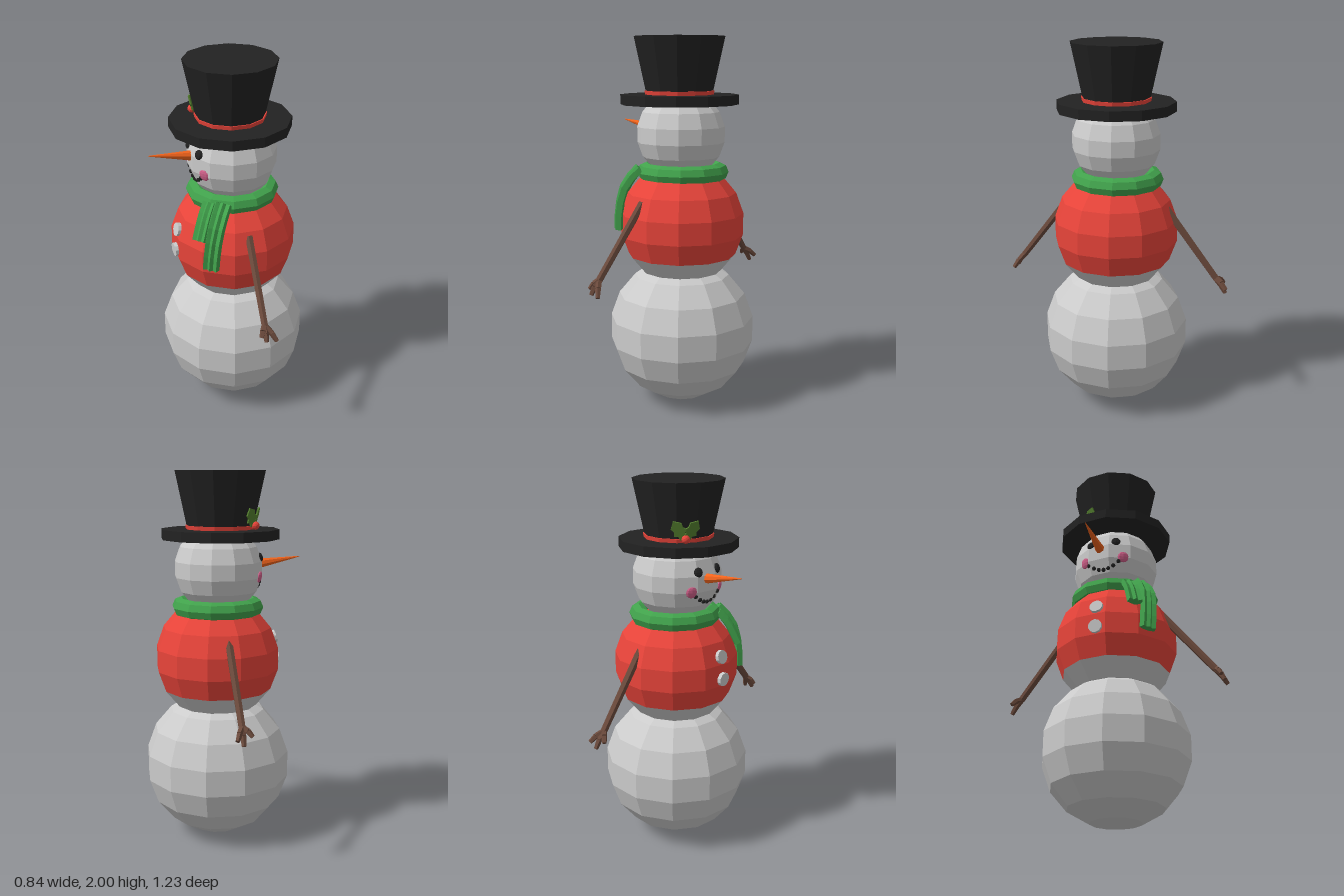
import * as THREE from 'three';

const V = (x, y, z) => new THREE.Vector3(x, y, z);
const mat = (color, side = THREE.FrontSide) =>
  new THREE.MeshStandardMaterial({ color, flatShading: true, side });
const SNOW = mat(0xcccccc), RED = mat(0xe8443a), GREEN = mat(0x41a24c, THREE.DoubleSide);
const BLACK = mat(0x222222), BARK = mat(0x6b4a3c), ORANGE = mat(0xf2641c);
const PINK = mat(0xd0608a), LEAF = mat(0x55802f, THREE.DoubleSide);
const AXIS = 0.027; // x of the body axis
const FACE = 9;     // heading of the face in degrees, turned from -x towards -z

export function createModel() {
  const model = new THREE.Group();
  const add = (name, geo, material, x = 0, y = 0, z = 0) => {
    const m = new THREE.Mesh(geo, material);
    m.name = name;
    m.position.set(x, y, z);
    model.add(m);
    return m;
  };

  // Place a part around a vertical axis with its +z pointing outward
  const around = (mesh, cx, deg, rho, y, pitch = 0) => {
    const a = THREE.MathUtils.degToRad(deg);
    mesh.position.set(cx - rho * Math.cos(a), y, -rho * Math.sin(a));
    mesh.rotation.order = 'YXZ';
    mesh.rotation.y = Math.atan2(-Math.cos(a), -Math.sin(a));
    mesh.rotation.x = -pitch;
    return mesh;
  };

  // Tapered stick between two points
  const stick = (name, a, b, ra, rb, material, sides = 6) => {
    const d = b.clone().sub(a);
    const m = add(name, new THREE.CylinderGeometry(rb, ra, d.length(), sides), material);
    m.position.copy(a).addScaledVector(d, 0.5);
    m.quaternion.setFromUnitVectors(V(0, 1, 0), d.normalize());
    return m;
  };

  // Snowballs; the middle one wears a red sweater down to its lower third
  const cut = Math.PI * 2 / 3;
  add('lowerBody', new THREE.SphereGeometry(0.401, 12, 9), SNOW, AXIS, 0.405);
  add('sweater', new THREE.SphereGeometry(0.34, 12, 6, 0, Math.PI * 2, 0, cut), RED, AXIS, 1);
  add('waist', new THREE.SphereGeometry(0.34, 12, 3, 0, Math.PI * 2, cut, Math.PI / 3), SNOW, AXIS, 1);
  add('head', new THREE.SphereGeometry(0.239, 12, 9), SNOW, 0.02, 1.485);

  // Buttons
  for (const y of [1.1, 0.98]) {
    const disc = new THREE.CylinderGeometry(0.037, 0.037, 0.02, 10).rotateX(Math.PI / 2);
    around(add('button', disc, SNOW), AXIS, FACE, Math.sqrt(0.335 ** 2 - (y - 1) ** 2), y, (y - 1) * 2.5);
  }

  // Eyes, cheeks, mouth
  const headRadius = y => 0.97 * Math.sqrt(0.239 ** 2 - (y - 1.485) ** 2);
  const onFace = (name, r, flat, material, off, y) => {
    const m = add(name, new THREE.SphereGeometry(r, 8, 6), material);
    around(m, 0.02, FACE + off, headRadius(y), y, (y - 1.485) * 4).scale.z = flat;
  };
  for (const s of [-1, 1]) {
    onFace('eye', 0.026, 0.6, BLACK, s * 19, 1.547);
    onFace('cheek', 0.031, 0.35, PINK, s * 29, 1.447);
  }
  for (let i = -3; i <= 3; i++) onFace('mouthCoal', 0.012, 0.8, BLACK, i * 7.5, 1.382 + i * i * 0.0045);

  // Carrot nose
  stick('nose', V(-0.17, 1.505, -0.046), V(-0.42, 1.543, -0.09), 0.03, 0.002, ORANGE, 8);

  // Top hat with band
  add('hatBrim', new THREE.CylinderGeometry(0.317, 0.317, 0.052, 12), BLACK, 0.01, 1.67);
  add('hatCrown', new THREE.CylinderGeometry(0.242, 0.175, 0.31, 12), BLACK, 0.01, 1.845);
  add('hatBand', new THREE.CylinderGeometry(0.187, 0.183, 0.025, 12), RED, 0.01, 1.704);

  // Holly: two spiky leaves and a berry
  const outline = [[0, 0], [0.022, 0.012], [0.02, 0.032], [0.038, 0.045], [0.026, 0.062], [0.032, 0.085], [0, 0.115]];
  const leafShape = new THREE.Shape([
    ...outline, ...outline.slice(1, -1).reverse().map(([x, y]) => [-x, y]),
  ].map(([x, y]) => new THREE.Vector2(x, y)));
  for (const s of [-1, 1]) {
    const geo = new THREE.ExtrudeGeometry(leafShape, { depth: 0.008, bevelEnabled: false });
    geo.rotateZ(-s * 0.55);
    around(add('hollyLeaf', geo, LEAF), 0.01, 47, 0.19, 1.715, -0.22).rotation.y += s * 0.25;
  }
  around(add('hollyBerry', new THREE.IcosahedronGeometry(0.022, 1), RED), 0.01, 47, 0.205, 1.718);

  // Scarf ring
  const ring = new THREE.TorusGeometry(0.198, 0.05, 8, 12);
  ring.rotateX(Math.PI / 2);
  add('scarf', ring, GREEN, 0.027, 1.283, -0.008);

  // Scarf tails: grooved ribbons that hang over the chest
  const ribbon = (name, pts, width, thick) => {
    const path = new THREE.CatmullRomCurve3(pts.map(p => V(...p)));
    const section = [[-0.5, 0], [-0.4, 0.9], [-0.17, 0.6], [0, 1], [0.17, 0.6], [0.4, 0.9], [0.5, 0], [0, -0.4]];
    const n = section.length, rows = 5, pos = [], idx = [];
    for (let i = 0; i <= rows; i++) {
      const p = path.getPoint(i / rows), t = path.getTangent(i / rows);
      const out = V(p.x - AXIS, 0, p.z).normalize();
      const side = t.clone().cross(out).normalize();
      out.crossVectors(side, t).normalize();
      for (const [u, v] of section) {
        pos.push(...p.clone().addScaledVector(side, u * width).addScaledVector(out, v * thick).toArray());
      }
    }
    for (let i = 0; i < rows; i++) for (let j = 0; j < n; j++) {
      const a = i * n + j, b = i * n + (j + 1) % n;
      idx.push(a, b, a + n, b, b + n, a + n);
    }
    for (let j = 1; j < n - 1; j++) {
      idx.push(0, j + 1, j, rows * n, rows * n + j, rows * n + j + 1);
    }
    const geo = new THREE.BufferGeometry();
    geo.setAttribute('position', new THREE.Float32BufferAttribute(pos, 3));
    geo.setIndex(idx);
    geo.computeVertexNormals();
    add(name, geo, GREEN);
  };
  ribbon('scarfTailLong', [[-0.13, 1.3, 0.16], [-0.19, 1.22, 0.2], [-0.225, 1.1, 0.212], [-0.235, 0.975, 0.208]], 0.09, 0.034);
  ribbon('scarfTailShort', [[-0.17, 1.29, 0.1], [-0.215, 1.23, 0.125], [-0.265, 1.12, 0.15]], 0.085, 0.03);

  // Stick arms with three fingers
  const arm = (shoulder, wrist, tips) => {
    stick('arm', shoulder, wrist, 0.022, 0.019, BARK);
    for (const tip of tips) {
      const knuckle = wrist.clone().lerp(tip, 0.55);
      knuckle.y += 0.008;
      stick('finger', wrist, knuckle, 0.017, 0.016, BARK, 5);
      stick('fingerTip', knuckle, tip, 0.016, 0.012, BARK, 5);
    }
  };
  arm(V(-0.045, 1.14, 0.27), V(-0.122, 0.775, 0.545),
    [V(-0.16, 0.73, 0.575), V(-0.14, 0.705, 0.59), V(-0.085, 0.70, 0.605)]);
  arm(V(0.07, 1.14, -0.27), V(0.113, 0.765, -0.55),
    [V(0.075, 0.725, -0.595), V(0.125, 0.685, -0.605), V(0.16, 0.715, -0.605)]);

  return model;
}
